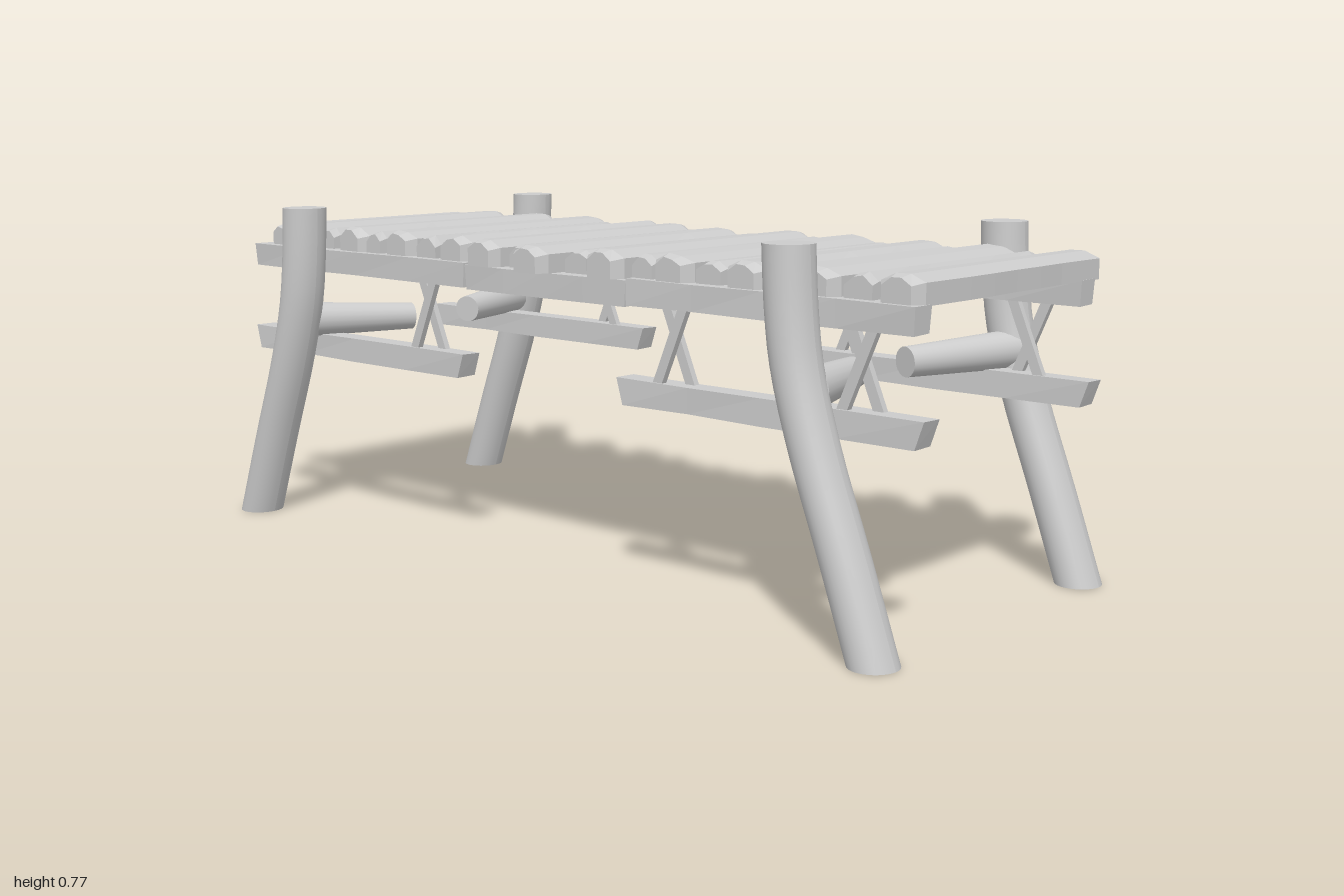
import * as THREE from 'three';

const wood = new THREE.MeshStandardMaterial({ color: 0xcccccc });
const hewn = new THREE.MeshStandardMaterial({ color: 0xcccccc, flatShading: true });

// Repeatable wobble in -1..1 from a position and a seed
const wobble = (a, b, c, seed) => {
  const s = Math.sin(a * 12.7 + b * 37.3 + c * 71.9 + seed * 19.1) * 437.585;
  return (s - Math.floor(s)) * 2 - 1;
};

// Moves every vertex of a geometry by a rule
function reshape(geo, rule) {
  const p = geo.attributes.position, v = new THREE.Vector3();
  for (let i = 0; i < p.count; i++) {
    rule(v.fromBufferAttribute(p, i));
    p.setXYZ(i, v.x, v.y, v.z);
  }
  geo.computeVertexNormals();
  return geo;
}

function add(group, name, geo, mat) {
  const mesh = new THREE.Mesh(geo, mat);
  mesh.name = name;
  group.add(mesh);
  return mesh;
}

// Rough plank lying along x: flat underside, worn top edges, narrowed ends
function plankGeometry(x0, x1, z, width, height, seed) {
  const wide = width > 0.08;
  return reshape(new THREE.BoxGeometry(1, 1, 1, 8, 2, 3), (v) => {
    const { x: u, y: h, z: w } = v;
    const end = Math.abs(u) > 0.49, side = Math.abs(w) > 0.49, top = h > 0.49;
    let t = u;
    if (Math.abs(u) > 0.37 && !end) t = Math.sign(u) * 0.465;
    let y = 0.667 + (h + 0.5) * height;
    if (top) y -= (side ? 0.018 : 0.003) + 0.003 * wobble(0, h, w, seed);
    if (top && end) y -= 0.006;
    let half = w * width * (end && wide ? 0.66 : 1);
    if (side && !end) half += 0.003 * wobble(u, 0, w, seed);
    v.set((x0 + x1) / 2 + t * (x1 - x0), y, z + half);
  });
}

// Squared timber lying along z with slightly skewed ends
function beamGeometry(x, y, z0, z1, seed) {
  return reshape(new THREE.BoxGeometry(1, 1, 1, 1, 1, 4), (v) => {
    const { x: a, y: b, z: c } = v;
    const skew = Math.abs(c) > 0.49 ? b * 0.02 * Math.sign(c) * (seed % 2 ? 1 : 0.2) : 0;
    v.set(
      x + a * 0.054 + 0.002 * wobble(a, b, c, seed),
      y + b * 0.055 + 0.001 * wobble(c, a, b, seed),
      (z0 + z1) / 2 + c * (z1 - z0) + skew
    );
  });
}

// Height and z of the bent post's centre line
const bend = new THREE.SplineCurve([
  [0, 0.948], [0.2, 0.876], [0.38, 0.808], [0.53, 0.763], [0.65, 0.745], [0.775, 0.737],
].map(([y, z]) => new THREE.Vector2(y, z)));

export function createModel() {
  const model = new THREE.Group();
  model.name = 'woodenWalkway';

  // Deck planks: [z, width, left end, right end]
  const planks = [
    [-0.93, 0.055, -0.31, 0.32], [-0.84, 0.1, -0.32, 0.36], [-0.745, 0.05, -0.305, 0.325],
    [-0.65, 0.1, -0.315, 0.36], [-0.565, 0.05, -0.31, 0.32], [-0.475, 0.1, -0.315, 0.375],
    [-0.38, 0.065, -0.305, 0.315], [-0.285, 0.1, -0.315, 0.37], [-0.165, 0.1, -0.34, 0.35],
    [-0.075, 0.05, -0.305, 0.32], [0.01, 0.1, -0.367, 0.325], [0.105, 0.065, -0.305, 0.32],
    [0.205, 0.1, -0.34, 0.35], [0.295, 0.055, -0.305, 0.32], [0.38, 0.1, -0.32, 0.365],
    [0.475, 0.065, -0.305, 0.315], [0.57, 0.1, -0.32, 0.365], [0.66, 0.05, -0.305, 0.315],
    [0.745, 0.1, -0.32, 0.365], [0.84, 0.065, -0.305, 0.315], [0.935, 0.1, -0.32, 0.372],
  ];
  const deck = new THREE.Group();
  deck.name = 'deck';
  planks.forEach(([z, w, x0, x1], i) =>
    add(deck, 'plank', plankGeometry(x0, x1, z, w, w > 0.08 ? 0.061 : 0.055, i + 1), hewn));
  model.add(deck);

  for (const sx of [-1, 1]) {
    const x = sx * 0.305;

    // Upper rail in three lengths
    add(model, 'upperRail', beamGeometry(x, 0.643, 0.275, 0.985, 2), hewn);
    add(model, 'upperRail', beamGeometry(x, 0.639, -0.215, 0.272, 4), hewn);
    add(model, 'upperRail', beamGeometry(x, 0.643, sx < 0 ? -1 : -0.965, -0.222, 6), hewn);

    for (const sz of [-1, 1]) {
      // Lower rail
      const rail = sz > 0 ? [0.257, 1.0] : [-1.0, -0.24];
      add(model, 'lowerRail', beamGeometry(x, 0.433, ...rail, 3), hewn);

      // Crossed struts between the rails
      for (const z of sz > 0 ? [0.39, 0.855] : [-0.37, -0.84]) {
        for (const side of [-1, 1]) {
          const strut = add(model, 'crossStrut', new THREE.BoxGeometry(0.014, 0.19, 0.023), hewn);
          strut.position.set(x + side * 0.0135, 0.538, z);
          strut.rotation.x = side * sx * 0.4;
        }
      }

      // Bent corner post with level ends
      const shift = sz > 0 ? 0 : -0.008;
      const post = reshape(new THREE.CylinderGeometry(0.053, 0.053, 0.775, 28, 16), (v) => {
        const c = bend.getPoint((v.y + 0.3875) / 0.775);
        v.set(sx * 0.384 + v.x, c.x, sz * (c.y + shift) + v.z * 0.95);
      });
      add(model, 'post', post, wood);

      // Tapered log stub reaching inward from the post
      const outer = new THREE.Vector3(sx * 0.37, 0.498, sz * 0.775);
      const inner = new THREE.Vector3(sx * 0.095, 0.49, sz * 0.682);
      const dir = inner.clone().sub(outer);
      const stub = add(model, 'logStub', new THREE.CylinderGeometry(0.033, 0.043, dir.length(), 20), wood);
      stub.position.copy(outer).add(inner).multiplyScalar(0.5);
      stub.quaternion.setFromUnitVectors(new THREE.Vector3(0, 1, 0), dir.normalize());
    }
  }
  return model;
}
